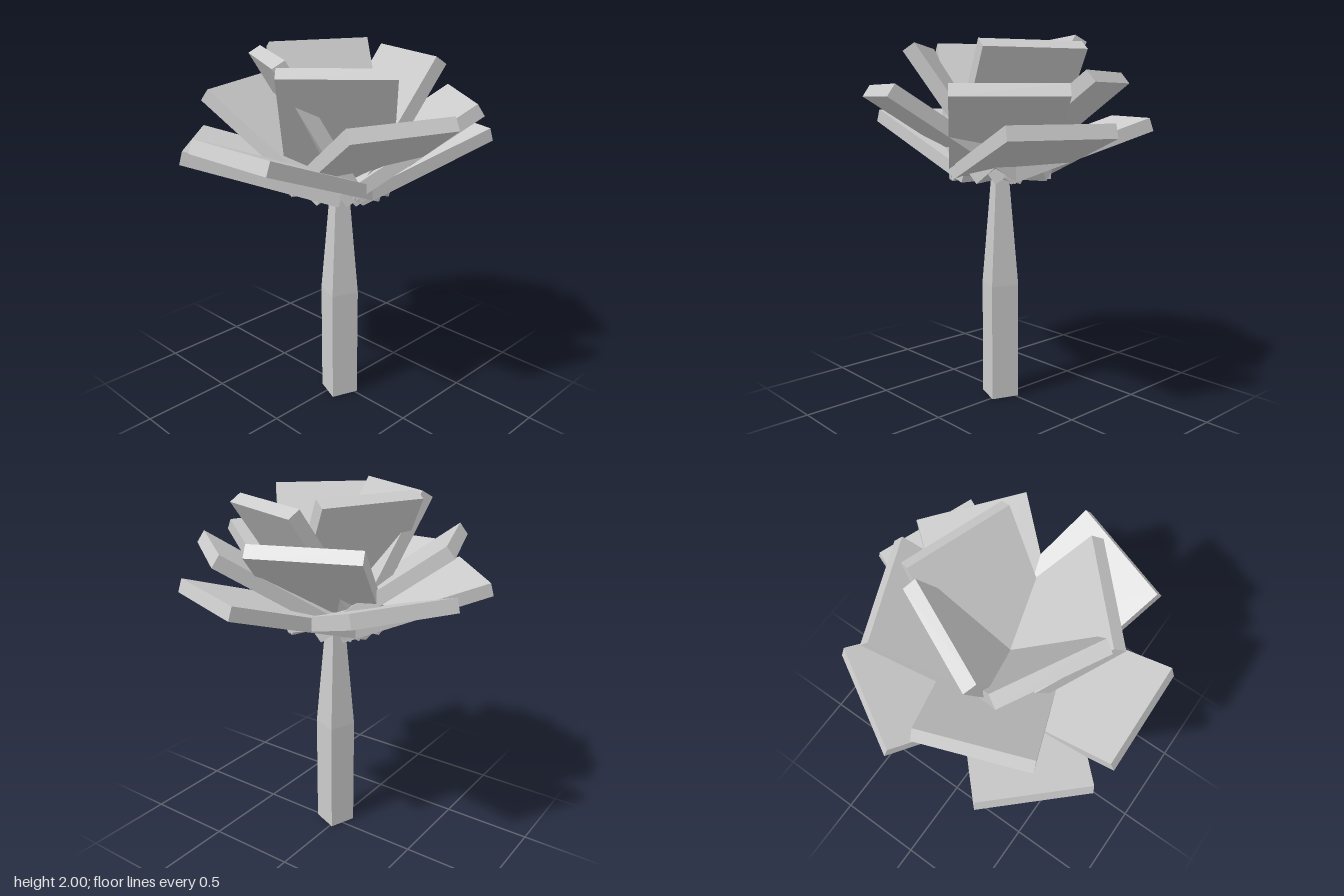
import * as THREE from 'three';

const material = new THREE.MeshStandardMaterial({ color: 0xcccccc, flatShading: true });
const AXIS = 0.03; // the flower's axis lies slightly off centre in x and z
const BASE_Y = 1.24;
const PETAL = { width: 0.557, thickness: 0.073, length: 0.817 };

// Each ring lists petals as [heading, upward tilt] in degrees.
const RINGS = {
  outerPetal: [[-46.5, 15.4], [1.5, 21.7], [160, 18], [-119.7, 18.9]],
  middlePetal: [[70.1, 33], [142, 33], [-69.6, 36.2], [-158, 39]],
  innerPetal: [[161, 56], [-28, 59.8], [42.9, 55.3], [-115.4, 62]],
};

// Square stem section, turned to match the stem's twist.
function stemSection(name, topRadius, bottomRadius, y0, y1) {
  const geometry = new THREE.CylinderGeometry(
    topRadius, bottomRadius, y1 - y0, 4, 1, false, THREE.MathUtils.degToRad(24));
  const mesh = new THREE.Mesh(geometry, material);
  mesh.name = name;
  mesh.position.y = (y0 + y1) / 2;
  return mesh;
}

export function createModel() {
  const model = new THREE.Group();
  model.name = 'flower';

  // Stem: straight below, tapering to half width under the bloom
  const stem = new THREE.Group();
  stem.name = 'stem';
  stem.position.set(AXIS, 0, AXIS);
  stem.add(stemSection('lowerStem', 0.11, 0.11, 0, 0.65));
  stem.add(stemSection('upperStem', 0.055, 0.11, 0.65, BASE_Y));
  model.add(stem);

  // Bloom: slab petals hinged on the lower edge of their inner end
  const bloom = new THREE.Group();
  bloom.name = 'bloom';
  bloom.position.set(AXIS, BASE_Y, AXIS);
  const slab = new THREE.BoxGeometry(PETAL.width, PETAL.thickness, PETAL.length);
  slab.translate(0, PETAL.thickness / 2, PETAL.length / 2);
  for (const [name, petals] of Object.entries(RINGS)) {
    petals.forEach(([heading, tilt], i) => {
      const petal = new THREE.Mesh(slab, material);
      petal.name = `${name}${i + 1}`;
      petal.rotation.set(
        -THREE.MathUtils.degToRad(tilt), THREE.MathUtils.degToRad(heading), 0, 'YXZ');
      bloom.add(petal);
    });
  }
  model.add(bloom);
  return model;
}
